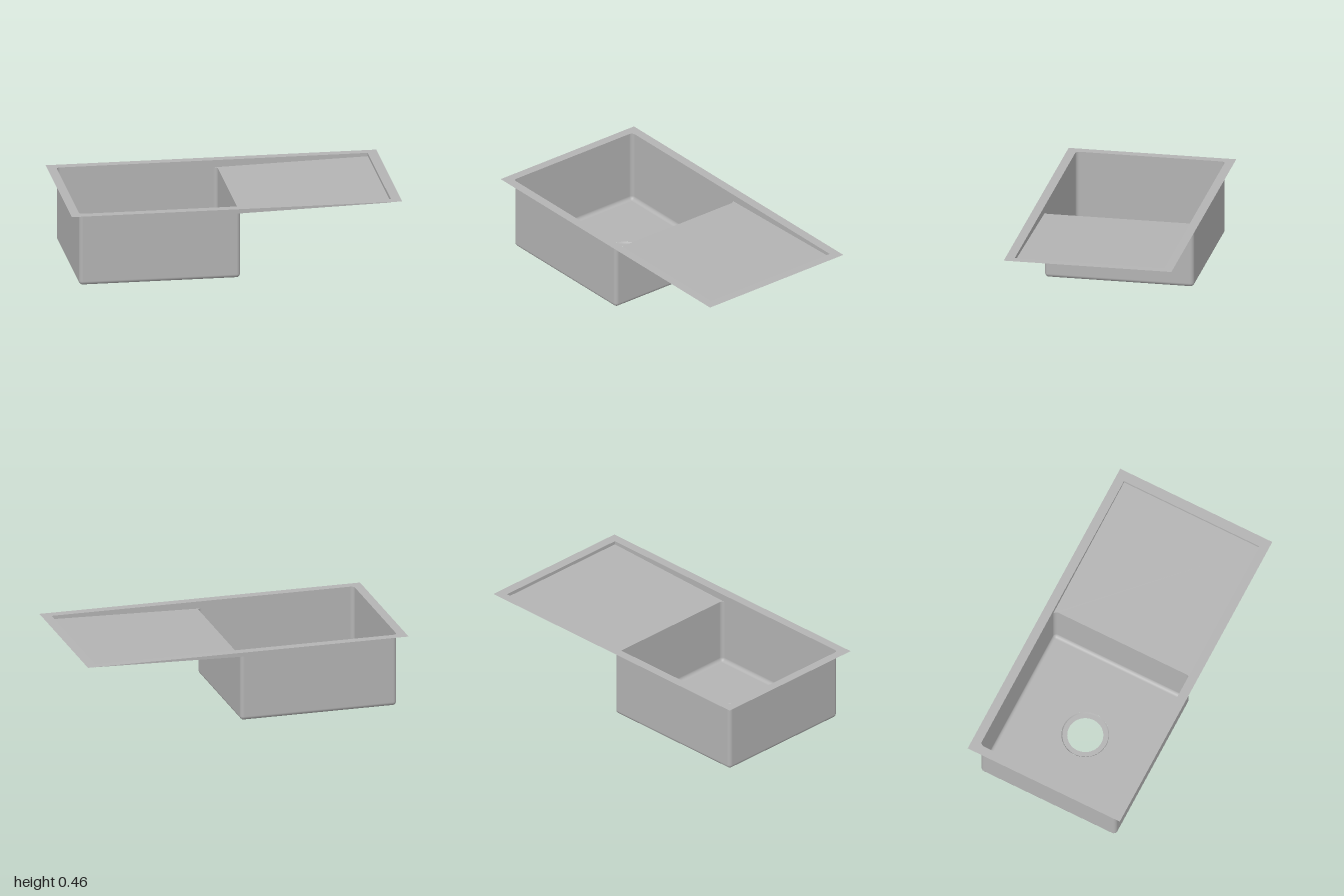
import * as THREE from 'three';

const TOP = 0.461, STEP = 0.416, FLOOR = 0.01;      // heights of rim, bowl lip and bowl floor
const X0 = -0.945, XB = 0.03, X1 = 0.94, Z = 0.455;  // bowl from X0 to XB, drainboard from XB to X1
const R = 0.024, N = 6;                             // bowl corner radius and segments
const DRAIN_X = -0.455;

// Lower edge of the recess: level over the bowl, rising along the drainboard
const recessY = x => x <= XB ? STEP : STEP + (0.44 - STEP) * (x - XB) / (X1 - XB);

// Quarter arc in plan, as [x, z, normalX, normalZ]
function arc(cx, cz, start) {
  return Array.from({ length: N + 1 }, (_, i) => {
    const a = start + i / N * Math.PI / 2;
    return [cx, cz, Math.cos(a), Math.sin(a)];
  });
}

// Skin a grid of rows; each entry is [x, y, z, nx, ny, nz]
function skin(rows) {
  const pos = [], nor = [], idx = [], w = rows[0].length;
  rows.flat().forEach(p => { pos.push(p[0], p[1], p[2]); nor.push(p[3], p[4], p[5]); });
  for (let r = 0; r < rows.length - 1; r++) {
    for (let c = 0; c < w - 1; c++) {
      const a = r * w + c, b = a + 1, d = a + w, e = d + 1;
      idx.push(a, b, d, b, e, d);
    }
  }
  const g = new THREE.BufferGeometry();
  g.setAttribute('position', new THREE.Float32BufferAttribute(pos, 3));
  g.setAttribute('normal', new THREE.Float32BufferAttribute(nor, 3));
  g.setIndex(idx);
  return g;
}

// Horizontal plate from a plan outline, with optional hole
function plate(points, hole) {
  const shape = new THREE.Shape(points.map(p => new THREE.Vector2(p[0], p[1])));
  if (hole) shape.holes.push(hole);
  return new THREE.ShapeGeometry(shape, 48).rotateX(-Math.PI / 2);
}

const rect = (a, b, z) => [[a, -z], [b, -z], [b, z], [a, z]];

export function createModel() {
  const group = new THREE.Group();
  const steel = new THREE.MeshStandardMaterial({ color: 0xb3b3b3, side: THREE.DoubleSide });
  steel.name = 'steel';
  const add = (name, geometry, y = 0, x = 0) => {
    const mesh = new THREE.Mesh(geometry, steel);
    mesh.name = name;
    mesh.position.set(x, y, 0);
    group.add(mesh);
  };

  // Plan of the recess: rounded at the bowl end, square at the drainboard end
  const zc = Z - R, bowlEnd = [
    ...arc(X0 + R, zc, Math.PI / 2), ...arc(X0 + R, -zc, Math.PI)
  ];
  const bowlEndXZ = bowlEnd.map(([x, z, nx, nz]) => [x + R * nx, z + R * nz]);

  // Flat rim with its opening
  const opening = new THREE.Path([[X1, Z], ...bowlEndXZ, [X1, -Z]].map(p => new THREE.Vector2(...p)));
  add('rim', plate(rect(-1, 1, 0.511), opening), TOP);

  // Recess wall under the rim
  const side = [
    [XB, Z, 0, 1],
    ...bowlEnd.map(([x, z, nx, nz]) => [x + R * nx, z + R * nz, nx, nz]),
    [XB, -Z, 0, -1]
  ];
  const wall = line => skin([TOP, null].map(y =>
    line.map(([x, z, nx, nz]) => [x, y ?? recessY(x), z, -nx, 0, -nz])));
  add('bowlRecessWall', wall(side));
  for (const s of [1, -1]) add('drainboardSideWall', wall([[XB, s * Z, 0, s], [X1, s * Z, 0, s]]));
  add('drainboardEndWall', wall([[X1, Z, 1, 0], [X1, -Z, 1, 0]]));

  // Sloping drainboard, cut to follow the rounded bowl corners
  const corner = (z, start) => arc(XB - R, z, start).map(([x, c, nx, nz]) => [x + R * nx, c + R * nz]);
  const board = plate([
    [X1, -Z], [X1, Z], ...corner(zc, 0).reverse(), ...corner(-zc, -Math.PI / 2).reverse()
  ]);
  const p = board.attributes.position;
  for (let i = 0; i < p.count; i++) p.setY(i, recessY(p.getX(i)));
  board.computeVertexNormals();
  add('drainboard', board);

  // Bowl sides with rounded corners and a rounded bottom edge
  const loop = [...arc(XB - R, zc, 0), ...bowlEnd, ...arc(XB - R, -zc, Math.PI * 1.5)];
  loop.push(loop[0]);
  const ring = (y, a) => loop.map(([x, z, nx, nz]) => {
    const c = Math.cos(a), s = Math.sin(a);
    return [x + R * c * nx, y - R * s, z + R * c * nz, -c * nx, s, -c * nz];
  });
  const rows = [ring(STEP, 0)];
  for (let i = 0; i <= N; i++) rows.push(ring(FLOOR + R, i / N * Math.PI / 2));
  add('bowlSides', skin(rows));

  // Bowl floor, drain seat and open drain hole
  const drain = new THREE.Path().absarc(DRAIN_X, 0, 0.143, 0, Math.PI * 2, true);
  add('bowlFloor', plate(rect(X0 + R, XB - R, zc), drain), FLOOR);
  const seat = [[0.143, FLOOR], [0.138, 0.001], [0.108, 0.001]];
  for (let i = 0; i < 2; i++) {
    const profile = seat.slice(i, i + 2).map(q => new THREE.Vector2(...q)).reverse();
    add(i ? 'drainFlange' : 'drainStep', new THREE.LatheGeometry(profile, 48), 0, DRAIN_X);
  }
  return group;
}
